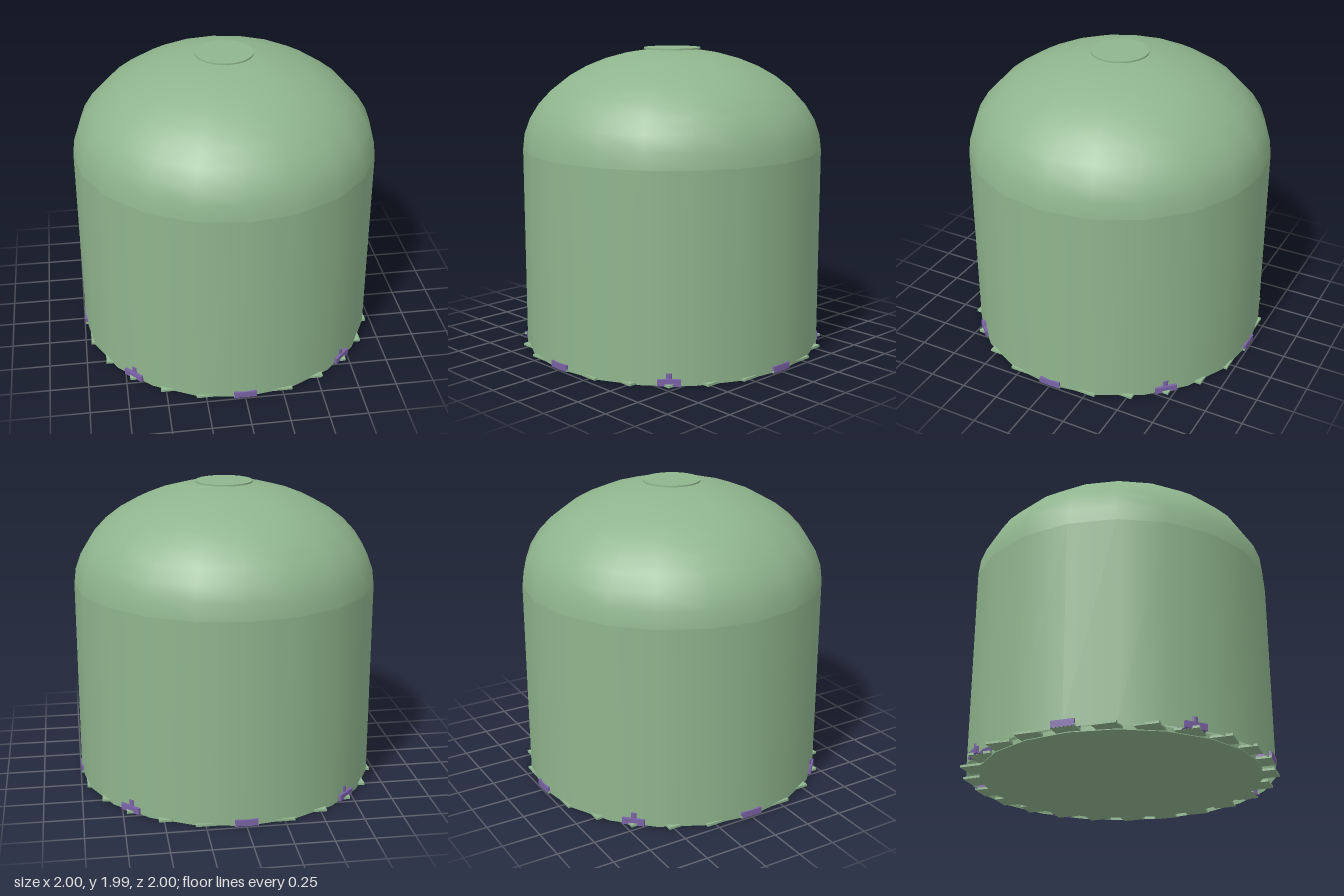
import * as THREE from 'three';

const R = 0.992, SIDES = 20, WALL_TOP = 1.33, DOME_H = 0.655;
const green = new THREE.MeshStandardMaterial({ color: 0x8fb58d, side: THREE.DoubleSide });
const purple = new THREE.MeshStandardMaterial({ color: 0x7a62a6 });

function add(parent, name, geometry, material, x = 0, y = 0, z = 0) {
  const mesh = new THREE.Mesh(geometry, material);
  mesh.name = name;
  mesh.position.set(x, y, z);
  parent.add(mesh);
  return mesh;
}

export function createModel() {
  const model = new THREE.Group();
  model.name = 'domedTank';

  // Straight wall, open at both ends
  const wallH = WALL_TOP - 0.005;
  add(model, 'wall', new THREE.CylinderGeometry(R, R, wallH, SIDES, 1, true), green, 0, 0.005 + wallH / 2);

  // Elliptical dome in 9 degree steps
  const profile = [];
  for (let i = 0; i <= 10; i++) {
    const t = (i / 10) * Math.PI / 2;
    profile.push(new THREE.Vector2(i === 10 ? 0 : R * Math.cos(t), WALL_TOP + DOME_H * Math.sin(t)));
  }
  add(model, 'dome', new THREE.LatheGeometry(profile, SIDES), green);

  // Thin hatch on the crown
  add(model, 'crownHatch', new THREE.CylinderGeometry(0.187, 0.187, 0.01, 32), green, 0, 1.985);

  // Floor disc
  add(model, 'floor', new THREE.CylinderGeometry(0.91, 0.91, 0.03, SIDES), green, 0, 0.015);

  // Flat square pads around the foot
  const pad = new THREE.BoxGeometry(0.15, 0.015, 0.15);
  for (let i = 0; i < 24; i++) {
    const a = (i / 24) * Math.PI * 2;
    add(model, 'footPad', pad, green, 0.92 * Math.sin(a), 0.0125, 0.92 * Math.cos(a));
  }

  // Eight anchor clamps, each with a bolt
  const block = new THREE.BoxGeometry(0.145, 0.042, 0.1);
  const bolt = new THREE.CylinderGeometry(0.024, 0.024, 0.05, 12);
  for (let i = 0; i < 8; i++) {
    const clamp = new THREE.Group();
    clamp.name = 'anchorClamp';
    clamp.rotation.y = i * Math.PI / 4;
    add(clamp, 'clampBlock', block, purple, 0, 0.027, 0.948);
    add(clamp, 'clampBolt', bolt, purple, 0, 0.06, 0.965);
    model.add(clamp);
  }
  return model;
}
